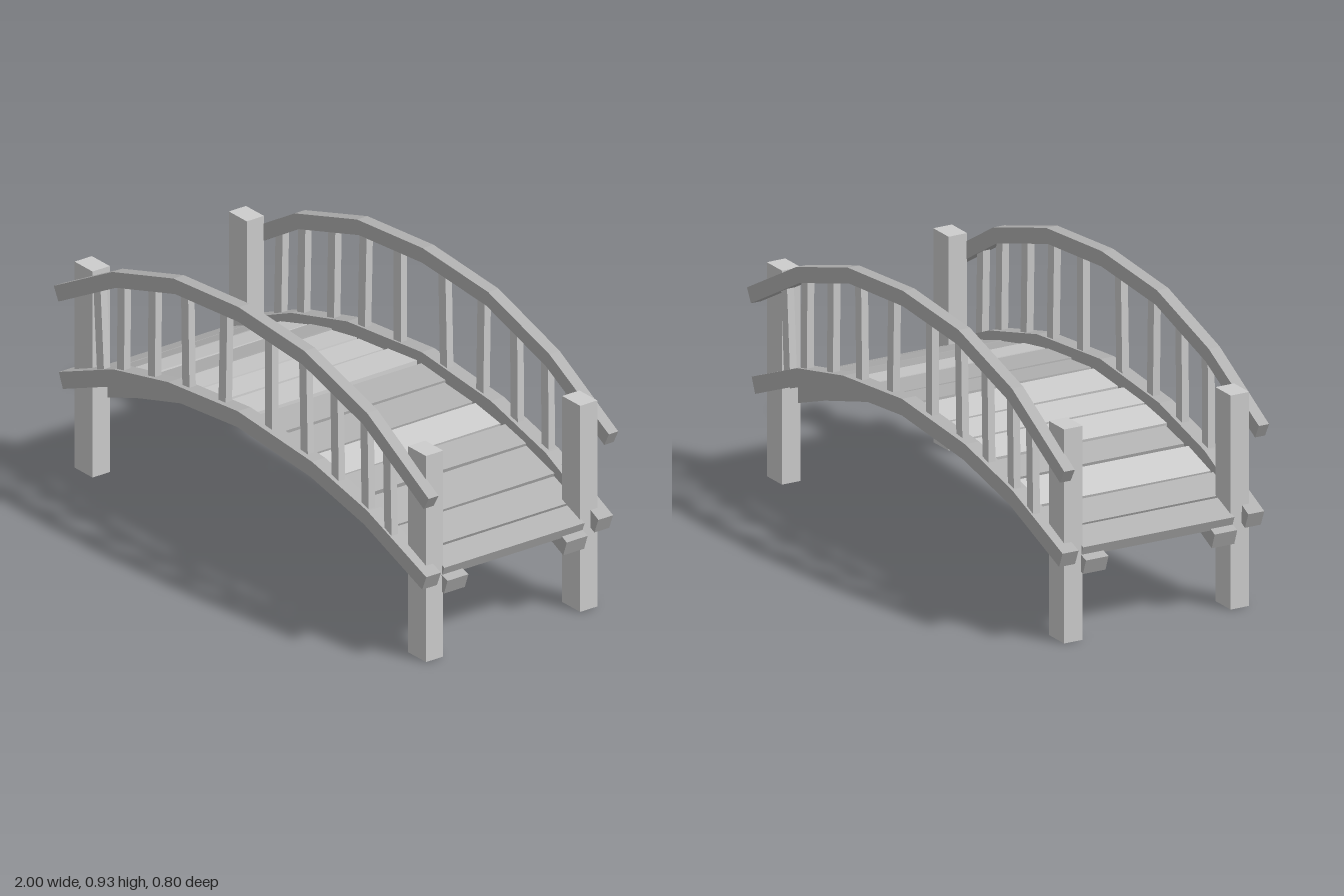
import * as THREE from 'three';

const paleWood = new THREE.MeshStandardMaterial({ color: 0xcccccc, flatShading: true });
paleWood.name = 'paleWood';
const greyWood = new THREE.MeshStandardMaterial({ color: 0xb2b2b2, flatShading: true });
greyWood.name = 'greyWood';

// Curved timber: stations are [x, centre y, inner z, outer z], running towards +x
function beam(stations, height) {
  const rings = stations.map(([x, y, zIn, zOut], i) => {
    const a = stations[Math.max(i - 1, 0)];
    const b = stations[Math.min(i + 1, stations.length - 1)];
    const n = new THREE.Vector2(-(b[1] - a[1]), b[0] - a[0]).setLength(height / 2);
    return [
      [x - n.x, y - n.y, zIn], [x - n.x, y - n.y, zOut],
      [x + n.x, y + n.y, zOut], [x + n.x, y + n.y, zIn],
    ];
  });
  const pos = [];
  const quad = (a, b, c, d) => pos.push(...a, ...b, ...c, ...a, ...c, ...d);
  for (let i = 0; i < rings.length - 1; i++) {
    const p = rings[i], q = rings[i + 1];
    for (let k = 0; k < 4; k++) {
      const m = (k + 1) % 4;
      quad(p[k], q[k], q[m], p[m]);
    }
  }
  const s = rings[0], e = rings[rings.length - 1];
  quad(s[0], s[1], s[2], s[3]);
  quad(e[3], e[2], e[1], e[0]);
  const g = new THREE.BufferGeometry();
  g.setAttribute('position', new THREE.Float32BufferAttribute(pos, 3));
  g.computeVertexNormals();
  return g;
}

// Height along a polyline of [x, y, ...] points
function heightAt(points, x) {
  let i = 0;
  while (i < points.length - 2 && x > points[i + 1][0]) i++;
  const [x0, y0] = points[i], [x1, y1] = points[i + 1];
  return y0 + (y1 - y0) * (x - x0) / (x1 - x0);
}

const upperRail = [
  [-0.985, 0.613, 0.35, 0.388], [-0.67, 0.78, 0.35, 0.392], [-0.345, 0.878, 0.352, 0.395],
  [0, 0.905, 0.352, 0.396], [0.345, 0.878, 0.352, 0.395], [0.67, 0.78, 0.35, 0.392],
  [0.988, 0.592, 0.346, 0.386],
];
const lowerRail = [
  [-0.97, 0.307, 0.32, 0.38], [-0.67, 0.43, 0.335, 0.39], [-0.37, 0.498, 0.345, 0.398],
  [0, 0.533, 0.348, 0.4], [0.39, 0.498, 0.345, 0.398], [0.67, 0.427, 0.335, 0.39],
  [0.97, 0.3, 0.32, 0.38],
];
const stringer = [
  [-0.96, 0.256, 0.2, 0.285], [-0.67, 0.36, 0.22, 0.295], [-0.38, 0.445, 0.23, 0.3],
  [0, 0.483, 0.23, 0.3], [0.38, 0.445, 0.23, 0.3], [0.68, 0.36, 0.22, 0.295],
  [0.96, 0.256, 0.2, 0.285],
];
const deck = [
  [-0.94, 0.325], [-0.67, 0.43], [-0.37, 0.5], [0, 0.535],
  [0.37, 0.5], [0.67, 0.43], [0.94, 0.325],
];

function add(parent, name, geometry, material) {
  const mesh = new THREE.Mesh(geometry, material);
  mesh.name = name;
  parent.add(mesh);
  return mesh;
}

// One side of the bridge: rails, stringer, posts and balusters
function makeSide(name) {
  const side = new THREE.Group();
  side.name = name;
  add(side, 'upperRail', beam(upperRail, 0.053), greyWood);
  add(side, 'lowerRail', beam(lowerRail, 0.057), greyWood);
  add(side, 'stringer', beam(stringer, 0.056), greyWood);

  for (const x of [-0.888, 0.892]) {
    const post = add(side, 'post', new THREE.BoxGeometry(0.096, 0.735, 0.07), paleWood);
    post.position.set(x, 0.3675, 0.315);
  }

  // Balusters as [bottom x, top x]
  const feet = [
    [-0.757, -0.778], [-0.652, -0.648], [-0.487, -0.483], [-0.302, -0.31], [-0.11, -0.1],
    [0.138, 0.138], [0.33, 0.32], [0.495, 0.487], [0.655, 0.647], [0.777, 0.768],
  ];
  for (const [x0, x1] of feet) {
    const a = new THREE.Vector2(x0, heightAt(lowerRail, x0));
    const b = new THREE.Vector2(x1, heightAt(upperRail, x1));
    const bar = add(side, 'baluster', new THREE.BoxGeometry(0.038, a.distanceTo(b), 0.026), paleWood);
    bar.position.set((a.x + b.x) / 2, (a.y + b.y) / 2, 0.367);
    bar.rotation.z = Math.atan2(a.x - b.x, b.y - a.y);
  }
  return side;
}

export function createModel() {
  const bridge = new THREE.Group();
  bridge.name = 'footbridge';

  // The far side is the near side turned half round
  bridge.add(makeSide('frontSide'));
  const back = makeSide('backSide');
  back.rotation.y = Math.PI;
  bridge.add(back);

  // Deck planks: [start x, end x, is pale]
  const planks = [
    [-0.945, -0.848, 0], [-0.84, -0.735, 0], [-0.728, -0.585, 1], [-0.572, -0.457, 0],
    [-0.445, -0.31, 1], [-0.3, -0.167, 1], [-0.155, -0.002, 1], [0.015, 0.145, 0],
    [0.158, 0.308, 0], [0.316, 0.45, 1], [0.456, 0.57, 0], [0.582, 0.73, 0],
    [0.737, 0.852, 0], [0.86, 0.945, 0],
  ];
  planks.forEach(([x0, x1, pale], i) => {
    const end = i === 0 || i === planks.length - 1;
    const y0 = heightAt(deck, x0), y1 = heightAt(deck, x1);
    const plank = add(bridge, 'plank',
      new THREE.BoxGeometry(Math.hypot(x1 - x0, y1 - y0), 0.038, end ? 0.57 : 0.655),
      pale ? paleWood : greyWood);
    const wobble = Math.sin(i * 2.4);
    plank.position.set((x0 + x1) / 2, (y0 + y1) / 2 - 0.019, 0.008 * Math.sin(i * 1.7));
    plank.rotation.set(0, 0.007 * wobble, Math.atan2(y1 - y0, x1 - x0));
  });
  return bridge;
}
